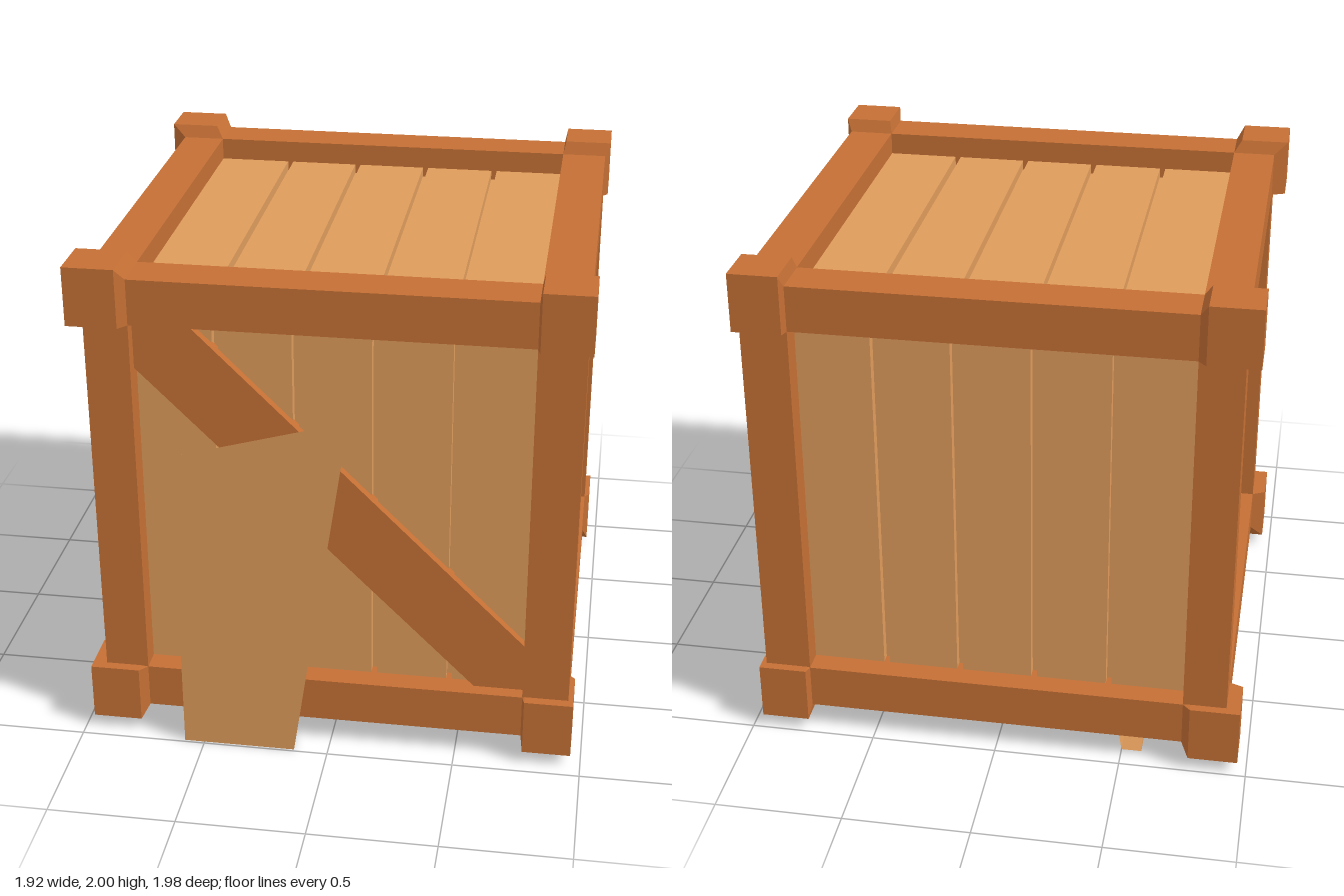
import * as THREE from 'three';

const frameMat = new THREE.MeshStandardMaterial({ color: 0xc46f34, flatShading: true });
const plankMat = new THREE.MeshStandardMaterial({ color: 0xde9b5b, flatShading: true });

// Ranges of the frame timbers and of the corner blocks along each axis
const BEAM = {
  x: [[-0.91, -0.74], [0.76, 0.94]],
  y: [[0.1, 0.28], [1.77, 1.95]],
  z: [[-0.95, -0.775], [0.725, 0.903]],
};
const BLOCK = {
  x: [[-0.965, -0.77], [0.77, 0.96]],
  y: [[0.05, 0.283], [1.77, 2]],
  z: [[-0.985, -0.8], [0.748, 0.942]],
};
const RECESS = 0.09; // how far the plank faces sit behind the frame

function addMesh(parent, name, geometry, material) {
  const mesh = new THREE.Mesh(geometry, material);
  mesh.name = name;
  parent.add(mesh);
  return mesh;
}

// Box given by its range on each axis
function addBox(parent, name, x, y, z, material) {
  const g = new THREE.BoxGeometry(x[1] - x[0], y[1] - y[0], z[1] - z[0]);
  g.translate((x[0] + x[1]) / 2, (y[0] + y[1]) / 2, (z[0] + z[1]) / 2);
  return addMesh(parent, name, g, material);
}

// Six-sided solid whose corners are chosen by the signs of a unit box
function hexahedron(corner) {
  const g = new THREE.BoxGeometry(2, 2, 2);
  const p = g.attributes.position;
  for (let i = 0; i < p.count; i++) p.setXYZ(i, ...corner(p.getX(i), p.getY(i), p.getZ(i)));
  g.computeVertexNormals();
  return g;
}

// Tapered collar between a corner block and the beam leaving it along the axis
function addCollar(parent, axis, index) {
  const side = index[axis];
  const block = BLOCK[axis][side], beam = BEAM[axis][side];
  const from = side ? block[0] : block[1];
  const to = side ? beam[0] : beam[1];
  const inward = side ? -1 : 1;
  const g = hexahedron((...s) => ['x', 'y', 'z'].map((a, i) => {
    const sign = s['xyz'.indexOf(axis)];
    const atBeam = sign === inward;
    if (a === axis) return atBeam ? to : from;
    return (atBeam ? BEAM : BLOCK)[a][index[a]][s[i] > 0 ? 1 : 0];
  }));
  addMesh(parent, 'cornerCollar', g, frameMat);
}

export function createModel() {
  const model = new THREE.Group();
  model.name = 'crate';

  // Frame: four beams along each axis
  const frame = new THREE.Group();
  frame.name = 'frame';
  model.add(frame);
  const full = (a) => [BEAM[a][0][0], BEAM[a][1][1]];
  const inner = (a) => [BEAM[a][0][1], BEAM[a][1][0]];
  for (const i of [0, 1]) for (const j of [0, 1]) {
    addBox(frame, 'crossBeam', full('x'), BEAM.y[i], BEAM.z[j], frameMat);
    addBox(frame, 'sideBeam', BEAM.x[i], BEAM.y[j], inner('z'), frameMat);
    addBox(frame, 'cornerPost', BEAM.x[i], inner('y'), BEAM.z[j], frameMat);
  }

  // Corner blocks with their collars
  for (const x of [0, 1]) for (const y of [0, 1]) for (const z of [0, 1]) {
    addBox(frame, 'cornerBlock', BLOCK.x[x], BLOCK.y[y], BLOCK.z[z], frameMat);
    addCollar(frame, 'x', { x, y, z });
    addCollar(frame, 'z', { x, y, z });
  }

  // Planked walls, lid and floor, over a core that closes the gaps
  const planks = new THREE.Group();
  planks.name = 'planks';
  model.add(planks);
  const hull = {}, core = {};
  for (const a of ['x', 'y', 'z']) {
    const [lo, hi] = full(a);
    hull[a] = [lo + RECESS, hi - RECESS];
    core[a] = [lo + RECESS + 0.04, hi - RECESS - 0.04];
  }
  addBox(planks, 'core', core.x, core.y, core.z, plankMat);
  const shell = (a) => [[hull[a][0], core[a][0]], [core[a][1], hull[a][1]]];
  for (let n = 0; n < 5; n++) {
    const start = -0.725 + 0.3 * n;
    const px = [n ? start : hull.x[0], n < 4 ? start + 0.277 : hull.x[1]];
    const pz = [n ? start - 0.036 : hull.z[0], n < 4 ? start + 0.24 : hull.z[1]];
    for (const s of [0, 1]) {
      addBox(planks, s ? 'lidPlank' : 'floorPlank', px, shell('y')[s], core.z, plankMat);
      addBox(planks, s ? 'frontPlank' : 'backPlank', px, hull.y, shell('z')[s], plankMat);
      addBox(planks, s ? 'leftPlank' : 'rightPlank', shell('x')[s], hull.y, pz, plankMat);
    }
  }

  // Diagonal brace across the front, cut to the frame opening
  const brace = new THREE.Shape([
    [-0.74, 1.575], [0.565, 0.28], [0.76, 0.28], [0.76, 0.48], [-0.54, 1.77], [-0.74, 1.77],
  ].map(([x, y]) => new THREE.Vector2(x, y)));
  const braceGeo = new THREE.ExtrudeGeometry(brace, { depth: 0.05, bevelEnabled: false });
  addMesh(model, 'diagonalBrace', braceGeo.translate(0, 0, 0.8), frameMat);

  // Loose wedge-shaped board at the front, running back beneath the crate
  const board = hexahedron((x, y, z) => {
    if (z > 0) {
      if (y > 0) return x > 0 ? [0.09, 1.475, 0.99] : [-0.58, 1.285, 0.99];
      return [x > 0 ? -0.135 : -0.58, 0, 0.99];
    }
    if (y > 0) return x > 0 ? [-0.25, 0.75, -0.37] : [-0.58, 0.65, -0.4];
    return [x > 0 ? -0.5 : -0.58, 0, -0.908];
  });
  addMesh(model, 'looseBoard', board, plankMat);

  return model;
}
